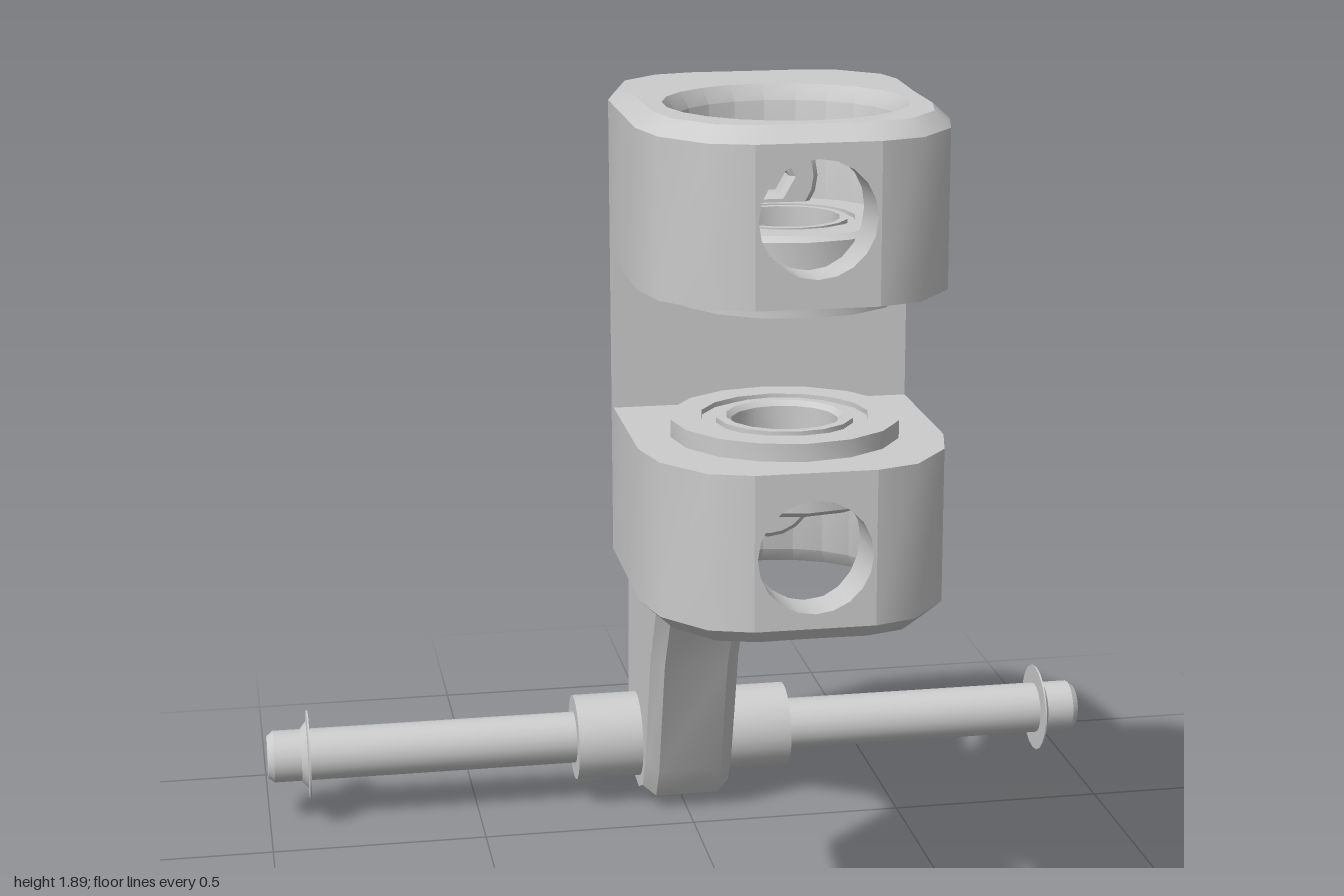
import * as THREE from 'three';
import { toCreasedNormals } from 'three/addons/utils/BufferGeometryUtils.js';

const material = new THREE.MeshStandardMaterial({ color: 0xcccccc });
const V2 = (a, b) => new THREE.Vector2(a, b);

function part(name, geometry, parent, crease = 0.6) {
  const mesh = new THREE.Mesh(toCreasedNormals(geometry, crease), material);
  mesh.name = name;
  parent.add(mesh);
  return mesh;
}

function polygon(cx, cy, r, sides, start = 0) {
  const pts = [];
  for (let i = 0; i < sides; i++) {
    const a = start + (i / sides) * Math.PI * 2;
    pts.push(V2(cx + r * Math.cos(a), cy + r * Math.sin(a)));
  }
  return pts;
}

const lathe = (points, sides) => new THREE.LatheGeometry(points.map(([r, y]) => V2(r, y)), sides);

// Clamp dimensions, heights measured from the middle of the clamp
const MID_Y = 1.41, BORE_Z = 0.565, BORE_R = 0.215;
const LUG_BOTTOM = 0.155, LUG_EDGE = 0.46, LUG_TOP = 0.49;
const FRONT_Z = 0.868, FRONT_X = 0.117, SCREW_Y = 0.32;

// Plan outline (x, z) of the clamp, front to back on the +x side, then mirrored
const half = [
  [0, FRONT_Z], [0.06, FRONT_Z], [FRONT_X, FRONT_Z], [0.2, 0.84], [0.275, 0.745], [0.3, 0.64],
  [0.3, 0.47], [0.3, 0.29], [0.28, 0.215], [0.2, 0.14], [0.12, 0.12], [0, 0.12],
];
const outline = [...half, ...half.slice(1, -1).reverse().map(([x, z]) => [-x, z])];

// Ring-shaped lug with chamfered rims; the front walls are left out for the drilled plate
function lugGeometry() {
  const n = outline.length;
  const sections = outline.map(([x, z], i) => {
    const a = (i / n) * Math.PI * 2;
    const d = Math.hypot(x, z - BORE_Z), k = (d - 0.033) / d;
    const inner = (r, y) => [r * Math.sin(a), y, BORE_Z + r * Math.cos(a)];
    return [
      [x, LUG_BOTTOM, z], [x, LUG_EDGE, z],
      [x * k, LUG_TOP, BORE_Z + (z - BORE_Z) * k],
      inner(BORE_R + 0.02, LUG_TOP), inner(BORE_R, LUG_EDGE), inner(BORE_R, LUG_BOTTOM),
    ];
  });
  const pos = [];
  for (let i = 0; i < n; i++) {
    const p = sections[i], q = sections[(i + 1) % n];
    const front = i < 2 || i >= n - 2;
    for (let j = 0; j < 6; j++) {
      if (front && (j === 0 || j === 4)) continue;
      const k = (j + 1) % 6;
      pos.push(...p[j], ...q[j], ...q[k], ...p[j], ...q[k], ...p[k]);
    }
  }
  const g = new THREE.BufferGeometry();
  g.setAttribute('position', new THREE.Float32BufferAttribute(pos, 3));
  return g;
}

// Front wall with the round access hole; its inner face follows the bore
function frontWallGeometry() {
  const xs = [-FRONT_X, -0.061, 0, 0.061, FRONT_X];
  const shape = new THREE.Shape([
    ...xs.map((x) => V2(x, LUG_BOTTOM)),
    ...xs.slice().reverse().map((x) => V2(x, LUG_EDGE)),
  ]);
  shape.holes.push(new THREE.Path(polygon(0, SCREW_Y, 0.111, 20)));
  const g = new THREE.ExtrudeGeometry(shape, { depth: 1, bevelEnabled: false });
  const p = g.attributes.position;
  for (let i = 0; i < p.count; i++) {
    const inner = BORE_Z + Math.sqrt(BORE_R ** 2 - p.getX(i) ** 2);
    p.setZ(i, p.getZ(i) > 0.5 ? FRONT_Z : inner);
  }
  return g;
}

// One half of the clamp: lug, half spine, bushing and socket screw
function clampHalf(name) {
  const group = new THREE.Group();
  group.name = name;
  part('lug', lugGeometry(), group);
  part('lugFrontWall', frontWallGeometry(), group);

  const back = outline.filter(([, z]) => z < 0.3).map(([x, z]) => V2(x, -z));
  const spine = new THREE.Shape([V2(0.3, -0.32), ...back, V2(-0.3, -0.32)]);
  const spineGeometry = new THREE.ExtrudeGeometry(spine, { depth: LUG_BOTTOM, bevelEnabled: false });
  part('spine', spineGeometry.rotateX(-Math.PI / 2), group);

  const bushing = part('bushing', lathe([
    [0.105, 0.27], [0.105, 0.13], [0.115, 0.12], [0.135, 0.12], [0.135, 0.13], [0.165, 0.13],
    [0.165, 0.12], [0.225, 0.12], [0.225, 0.158], [0.213, 0.158], [0.213, 0.26], [0.2, 0.27],
    [0.135, 0.27], [0.135, 0.262], [0.12, 0.262], [0.12, 0.27], [0.105, 0.27],
  ], 16), group);
  bushing.position.z = BORE_Z;

  const head = new THREE.Shape(polygon(0, 0, 0.085, 20));
  head.holes.push(new THREE.Path(polygon(0, 0, 0.05, 6)));
  const screw = new THREE.Group();
  screw.name = 'screw';
  part('screwHead', new THREE.ExtrudeGeometry(head, {
    depth: 0.07, bevelSize: 0.01, bevelThickness: 0.01, bevelSegments: 1,
  }), screw);
  const socketFloor = part('socketFloor', new THREE.CircleGeometry(0.06, 6), screw);
  socketFloor.position.z = 0.03;
  screw.position.set(0, SCREW_Y, 0.34);
  group.add(screw);
  return group;
}

// Curved arm with two lightening holes, drawn as (-z, y) and extruded across x
function armGeometry() {
  const shape = new THREE.Shape([
    [-0.2, 0.99], [-0.12, 0.975], [0.09, 0.89], [0.3, 0.67], [0.455, 0.42], [0.55, 0.12],
    [0.6, 0.04], [0.68, 0.005], [0.77, 0.015], [0.845, 0.08], [0.868, 0.19], [0.845, 0.62],
    [0.725, 1.18], [0.6, 1.43], [0.51, 1.56], [0.41, 1.665], [0.22, 1.78], [0.14, 1.805],
    [-0.12, 1.855], [-0.2, 1.86],
  ].map(([u, v]) => V2(u, v)));
  shape.holes.push(new THREE.Path(polygon(0.215, 1.342, 0.223, 9)));
  shape.holes.push(new THREE.Path(polygon(0.512, 0.873, 0.163, 9)));
  return new THREE.ExtrudeGeometry(shape, {
    depth: 0.15, bevelSize: 0.028, bevelOffset: -0.028, bevelThickness: 0.03, bevelSegments: 1,
  }).translate(0, 0, -0.075).rotateY(Math.PI / 2);
}

export function createModel() {
  const model = new THREE.Group();
  model.name = 'clampBracket';

  // Head clamp: the lower half is the upper half turned over
  const upper = clampHalf('upperClamp');
  const lower = clampHalf('lowerClamp');
  lower.rotation.z = Math.PI;
  for (const clamp of [upper, lower]) {
    clamp.position.y = MID_Y;
    model.add(clamp);
  }

  part('arm', armGeometry(), model, 0.3);

  // Cross pin: each side has a collar, a rod, a retaining washer and a tip
  for (const side of [1, -1]) {
    const pin = new THREE.Group();
    pin.name = side > 0 ? 'leftPin' : 'rightPin';
    part('collar', lathe([[0, 0], [0.103, 0], [0.103, 0.26], [0.06, 0.26]], 24), pin);
    part('rod', lathe([[0.062, 0.25], [0.062, 0.985], [0.05, 1], [0, 1]], 20), pin);
    part('washer', lathe([[0.06, 0.9], [0.106, 0.9], [0.106, 0.904], [0.08, 0.906], [0.06, 0.922]], 20), pin);
    pin.rotation.z = -side * Math.PI / 2;
    pin.position.set(0, 0.165, -0.705);
    model.add(pin);
  }
  return model;
}
